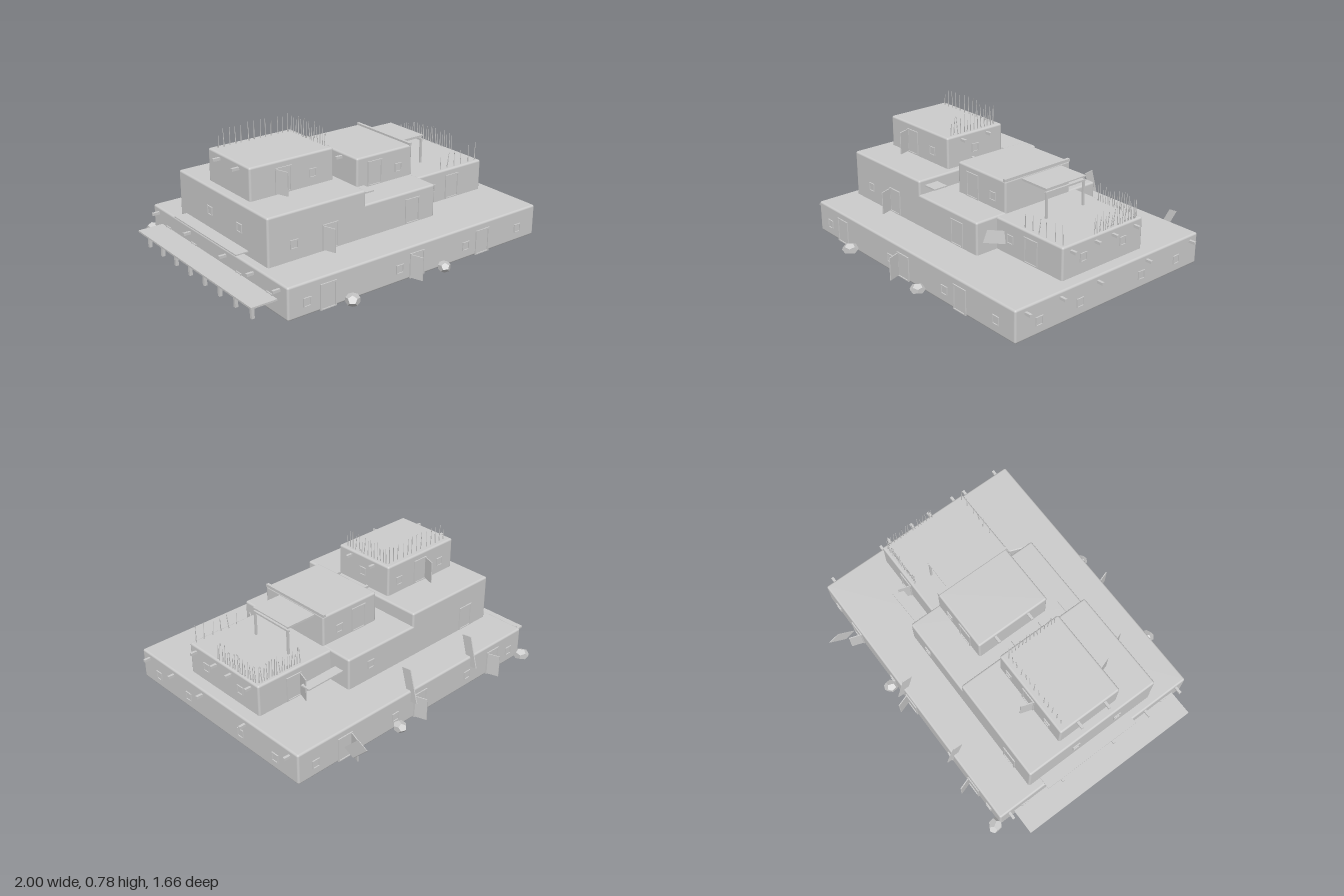
import * as THREE from 'three';
import { RoundedBoxGeometry } from 'three/addons/geometries/RoundedBoxGeometry.js';

const FRONT = 0, RIGHT = Math.PI / 2, BACK = Math.PI, LEFT = -Math.PI / 2;

export function createModel() {
  const root = new THREE.Group();
  root.name = 'terracedAdobeHouse';
  const mat = new THREE.MeshStandardMaterial({ color: 0xcccccc });
  const flat = new THREE.MeshStandardMaterial({ color: 0xcccccc, flatShading: true });
  let seed = 7;
  const rand = () => (seed = (seed * 16807) % 2147483647) / 2147483647;
  const V = (x, y, z) => new THREE.Vector3(x, y, z);

  const add = (name, geo, parent = root, m = mat) => {
    const mesh = new THREE.Mesh(geo, m);
    mesh.name = name;
    parent.add(mesh);
    return mesh;
  };
  const box = (name, x0, x1, y0, y1, z0, z1, parent = root) => {
    const mesh = add(name, new THREE.BoxGeometry(x1 - x0, y1 - y0, z1 - z0), parent);
    mesh.position.set((x0 + x1) / 2, (y0 + y1) / 2, (z0 + z1) / 2);
    return mesh;
  };
  // Softly rounded storey
  const block = (name, x0, x1, y0, y1, z0, z1) => {
    const mesh = add(name, new RoundedBoxGeometry(x1 - x0, y1 - y0, z1 - z0, 3, 0.012));
    mesh.position.set((x0 + x1) / 2, (y0 + y1) / 2, (z0 + z1) / 2);
  };
  // Flat board running from a to b, its width along the given axis
  const board = (name, a, b, width, axis, thick = 0.008) => {
    const dir = b.clone().sub(a), len = dir.length();
    dir.normalize();
    const normal = dir.clone().cross(axis).normalize();
    const side = normal.clone().cross(dir);
    const mesh = add(name, new THREE.BoxGeometry(len, thick, width));
    mesh.quaternion.setFromRotationMatrix(new THREE.Matrix4().makeBasis(dir, normal, side.clone().negate().multiplyScalar(-1)));
    mesh.position.copy(a).add(b).multiplyScalar(0.5);
    return mesh;
  };

  // Storeys
  block('groundStorey', -0.84, 0.96, 0.01, 0.2, -0.63, 0.76);
  block('secondStoreyTall', -0.79, -0.14, 0.17, 0.48, -0.385, 0.515);
  block('secondStoreyMiddle', -0.17, 0.37, 0.17, 0.395, -0.385, 0.515);
  block('secondStoreyRight', 0.34, 0.885, 0.17, 0.39, -0.235, 0.37);
  block('topStoreyLeft', -0.735, -0.18, 0.45, 0.67, -0.14, 0.275);
  block('topStoreyMiddle', -0.04, 0.37, 0.36, 0.58, -0.18, 0.31);

  // Framed opening, centred on (x, z) of a wall, with an optional open leaf
  const opening = (name, x, y, z, w, h, face, leaf = 0) => {
    const g = new THREE.Group();
    g.name = name;
    g.position.set(x, y, z);
    g.rotation.y = face;
    root.add(g);
    const t = name === 'door' ? 0.009 : 0.005;
    for (const s of [-1, 1]) {
      const c = s * (w - t) / 2;
      box('jamb', c - t / 2, c + t / 2, 0, h, -0.01, 0.007, g);
    }
    box('lintel', -w / 2, w / 2, h - t, h, -0.01, 0.007, g);
    box('sill', -w / 2, w / 2, 0, t * 0.6, -0.01, 0.007, g);
    box('panel', -w / 2, w / 2, 0, h, -0.01, 0.001, g);
    if (leaf) {
      const hinge = new THREE.Group();
      hinge.name = 'openLeaf';
      hinge.position.set(leaf * (w / 2 - 0.005), 0, 0);
      hinge.rotation.y = -1.3 * leaf;
      if (leaf < 0) hinge.rotation.y = -1.25;
      else hinge.rotation.y = 1.25 + Math.PI;
      box('leaf', 0, 0.08, 0.004, h - 0.006, -0.003, 0.003, hinge);
      if (leaf > 0) hinge.rotation.y = -Math.PI + 1.25;
      g.add(hinge);
    }
  };
  const door = (x, y, z, face, leaf) => opening('door', x, y, z, 0.105, 0.148, face, leaf);
  const win = (x, y, z, face) => opening('window', x, y - 0.025, z, 0.05, 0.05, face);

  // Doors: x, base y, wall z, wall direction, hinge side
  [[-0.585, 0.012, 0.76, FRONT, 0], [0.025, 0.012, 0.76, FRONT, -1], [0.525, 0.012, 0.76, FRONT, 0],
    [-0.385, 0.205, 0.515, FRONT, -1], [0.2, 0.205, 0.515, FRONT, 0], [0.645, 0.205, 0.37, FRONT, 0],
    [-0.52, 0.485, 0.275, FRONT, -1], [0.09, 0.398, 0.31, FRONT, 0],
    [-0.58, 0.012, -0.63, BACK, -1], [0.05, 0.012, -0.63, BACK, -1], [0.63, 0.012, -0.63, BACK, 1],
    [-0.6, 0.205, -0.385, BACK, 0], [0.64, 0.205, -0.235, BACK, 1],
    [-0.45, 0.485, -0.14, BACK, 1], [0.1, 0.398, -0.18, BACK, 0],
  ].forEach((d) => door(...d));

  // Windows
  for (const x of [-0.72, -0.1, 0.395, 0.815]) win(x, 0.09, 0.76, FRONT);
  for (const x of [-0.73, -0.35, 0.25, 0.84]) win(x, 0.09, -0.63, BACK);
  for (const z of [0.6, 0.31, -0.16, -0.45]) {
    win(0.96, 0.09, z, RIGHT);
    win(-0.84, 0.09, z, LEFT);
  }
  for (const z of [0.22, -0.08]) {
    win(0.885, 0.295, z, RIGHT);
    win(-0.79, 0.34, z + 0.03, LEFT);
  }
  win(-0.625, 0.295, 0.515, FRONT);
  win(0.48, 0.295, 0.37, FRONT);
  win(-0.325, 0.555, 0.275, FRONT);
  win(0.265, 0.465, 0.31, FRONT);
  win(0.2, 0.3, -0.385, BACK);
  win(-0.27, 0.555, -0.14, BACK);
  win(-0.62, 0.555, -0.14, BACK);
  win(0.25, 0.465, -0.18, BACK);
  win(-0.18, 0.57, 0.07, RIGHT);

  // Roof beam ends poking through the side walls
  const beamEnds = (x, dir, y, zs) => zs.forEach((z) => box('beamEnd',
    Math.min(x, x + dir * 0.04) - 0.005, Math.max(x, x + dir * 0.04), y - 0.008, y + 0.008, z - 0.008, z + 0.008));
  const groundEnds = [-0.565, -0.2, 0.18, 0.45, 0.69];
  beamEnds(0.96, 1, 0.165, groundEnds);
  beamEnds(-0.84, -1, 0.165, groundEnds);
  beamEnds(0.885, 1, 0.355, [-0.17, 0, 0.13, 0.31]);
  beamEnds(-0.18, 1, 0.64, [-0.02, 0.17]);
  beamEnds(-0.735, -1, 0.64, [-0.02, 0.17]);
  beamEnds(-0.04, -1, 0.555, [-0.065, 0.17]);

  // Side porch on short posts
  box('porchDeck', -1, -0.835, 0.095, 0.105, -0.53, 0.67);
  for (let i = 0; i < 8; i++) {
    const z = -0.47 + i * 0.155;
    box('porchJoist', -0.985, -0.84, 0.083, 0.096, z - 0.007, z + 0.007);
    box('porchPost', -0.968, -0.95, 0.01, 0.09, z - 0.009, z + 0.009);
  }

  // Lean-to canopy
  const Z = V(0, 0, 1), X = V(1, 0, 0);
  board('canopyRoof', V(0.36, 0.583, 0.04), V(0.565, 0.547, 0.04), 0.3, Z, 0.007);
  for (const z of [-0.1, 0.18]) {
    box('canopyPost', 0.553, 0.565, 0.385, 0.546, z - 0.006, z + 0.006);
    board('canopyRafter', V(0.37, 0.574, z), V(0.56, 0.541, z), 0.01, Z, 0.01);
  }
  box('canopyBeam', 0.552, 0.564, 0.534, 0.545, -0.11, 0.19);
  box('roofEdgeBeam', 0.35, 0.368, 0.575, 0.592, -0.18, 0.31);

  // Leaning boards
  board('rampBoard', V(0.65, 0.262, -0.605), V(0.65, 0.012, -0.86), 0.08, X);
  board('roofBoard', V(-0.155, 0.49, 0.43), V(-0.07, 0.398, 0.43), 0.09, Z);
  board('backBoard', V(0.355, 0.4, -0.305), V(0.595, 0.205, -0.315), 0.065, Z);
  board('frontBoard', V(0.425, 0.385, 0.375), V(0.415, 0.205, 0.42), 0.085, X);
  board('leftEdgeBoard', V(-0.845, 0.272, 0.015), V(-0.825, 0.195, 0.015), 0.65, Z, 0.007);
  for (const [x0, x1] of [[-0.49, -0.27], [0.01, 0.24]])
    board('parapetBoard', V((x0 + x1) / 2, 0.265, -0.612), V((x0 + x1) / 2, 0.195, -0.622), x1 - x0, X, 0.007);

  // Thin stakes along the roof edges
  const stakeGeo = new THREE.CylinderGeometry(0.0015, 0.0035, 1, 5);
  const stakes = (n, a, b, y, height) => {
    for (let i = 0; i < n; i++) {
      const m = add('stake', stakeGeo);
      const h = height * (0.6 + 0.4 * rand());
      m.scale.y = h + 0.01;
      m.position.lerpVectors(a, b, (i + 0.3 * rand()) / (n - 0.7)).setY(y + h / 2 - 0.005);
      m.rotation.set((rand() - 0.5) * 0.16, 0, (rand() - 0.5) * 0.16);
    }
  };
  stakes(13, V(-0.7, 0, -0.105), V(-0.21, 0, -0.105), 0.67, 0.115);
  stakes(14, V(-0.205, 0, -0.1), V(-0.205, 0, 0.235), 0.67, 0.115);
  stakes(17, V(0.57, 0, -0.21), V(0.86, 0, -0.21), 0.39, 0.115);
  stakes(16, V(0.87, 0, -0.2), V(0.87, 0, 0.13), 0.39, 0.115);
  stakes(6, V(0.57, 0, 0.345), V(0.86, 0, 0.345), 0.39, 0.115);

  // Rocks at the foot of the walls
  for (const [x, z, r] of [[-0.455, 0.8, 0.05], [0.2, 0.795, 0.045], [-0.83, -0.66, 0.05], [0.24, -0.66, 0.047]]) {
    const m = add('rock', new THREE.DodecahedronGeometry(r, 0), root, flat);
    m.scale.set(1, 0.7, 0.85);
    m.position.set(x, r * 0.66, z);
    m.rotation.y = x * 5;
  }
  return root;
}
